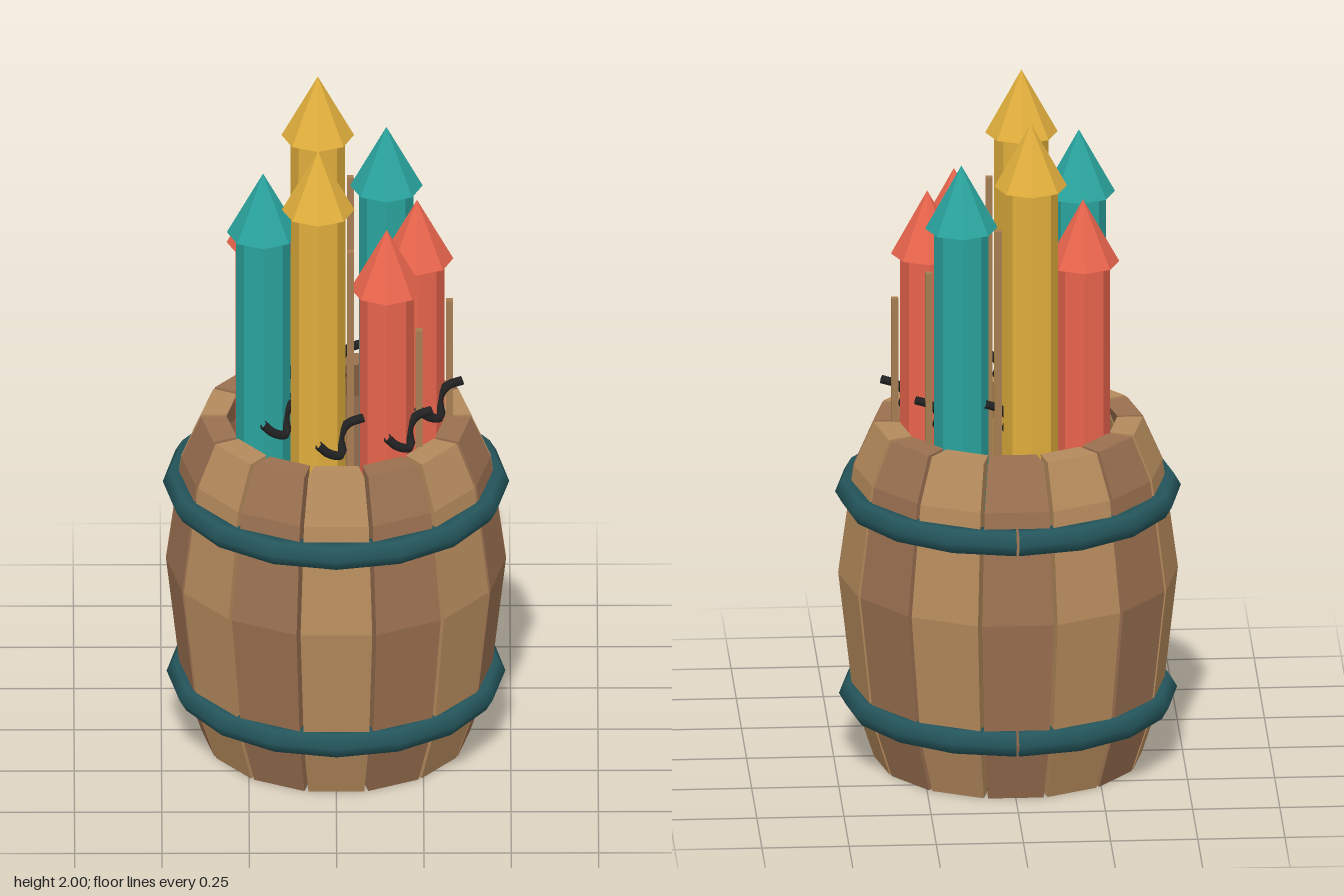
import * as THREE from 'three';

const STAVES = 14;
// Stave profile: [height, distance of outer face from the axis]
const PROFILE = [[0, 0.376], [0.18, 0.434], [0.56, 0.476], [0.89, 0.433], [1.02, 0.378]];
const THICKNESS = 0.072;
const GAP = 0.006;

const flat = (color) => new THREE.MeshStandardMaterial({ color, flatShading: true });

function add(parent, name, geometry, material) {
  const mesh = new THREE.Mesh(geometry, material);
  mesh.name = name;
  parent.add(mesh);
  return mesh;
}

// A box bent to the barrel profile, with tapered sides
function staveGeometry() {
  const rows = PROFILE.length - 1;
  const geo = new THREE.BoxGeometry(1, 1, 1, 1, rows, 1);
  const pos = geo.attributes.position;
  for (let i = 0; i < pos.count; i++) {
    const [y, outer] = PROFILE[Math.round((pos.getY(i) + 0.5) * rows)];
    const d = pos.getZ(i) > 0 ? outer : outer - THICKNESS;
    const half = d * Math.tan(Math.PI / STAVES) - GAP;
    pos.setXYZ(i, Math.sign(pos.getX(i)) * half, y, d);
  }
  geo.computeVertexNormals();
  return geo;
}

function createBarrel() {
  const barrel = new THREE.Group();
  barrel.name = 'barrel';
  const woods = [flat(0xb58a5c), flat(0x9a7050)];
  const geo = staveGeometry();
  for (let i = 0; i < STAVES; i++) {
    add(barrel, 'stave', geo, woods[i % 2]).rotation.y = (i / STAVES) * Math.PI * 2;
  }
  // Floor
  const floor = add(barrel, 'floor', new THREE.CylinderGeometry(0.335, 0.335, 0.03, 32), flat(0x5c4033));
  floor.position.y = 0.02;
  // Hoops, with a narrow seam at the back
  const hoopMat = new THREE.MeshStandardMaterial({ color: 0x24565c, side: THREE.DoubleSide });
  for (const [y, r] of [[0.193, 0.445], [0.808, 0.456]]) {
    const seam = 0.016;
    const hoop = new THREE.TorusGeometry(r, 0.04, 6, 16, Math.PI * 2 - seam);
    hoop.rotateZ(-Math.PI / 2 + seam / 2).rotateX(Math.PI / 2);
    add(barrel, 'hoop', hoop, hoopMat).position.y = y;
  }
  return barrel;
}

// Fuse curls through the side of the rocket body
const fusePath = new THREE.CatmullRomCurve3([
  [0, 1.09, 0.085], [0.03, 1.06, 0.08], [0.068, 1.045, 0.058],
  [0.062, 1.09, 0.03], [0.085, 1.125, 0.018], [0.13, 1.142, 0.015],
].map((p) => new THREE.Vector3(...p)));

function createRocket(color, tip) {
  const rocket = new THREE.Group();
  rocket.name = 'rocket';
  const material = flat(color);
  const bottom = 0.43;
  const coneHeight = 0.19;
  const shoulder = tip - coneHeight;

  const body = add(rocket, 'body', new THREE.CylinderGeometry(0.078, 0.078, shoulder - bottom, 8), material);
  body.position.y = (shoulder + bottom) / 2;
  const nose = add(rocket, 'noseCone', new THREE.ConeGeometry(0.104, coneHeight, 8), material);
  nose.position.y = tip - coneHeight / 2;

  // Guide stick on the left side
  const stickTop = shoulder - 0.135;
  const stick = add(rocket, 'stick', new THREE.BoxGeometry(0.02, stickTop - bottom, 0.02), flat(0xa67c52));
  stick.position.set(0.093, (stickTop + bottom) / 2, 0);

  add(rocket, 'fuse', new THREE.TubeGeometry(fusePath, 14, 0.013, 6),
    new THREE.MeshStandardMaterial({ color: 0x222222, side: THREE.DoubleSide }));
  return rocket;
}

export function createModel() {
  const model = new THREE.Group();
  model.name = 'rocketBarrel';
  model.add(createBarrel());

  // Seven rockets in a ring, from the left side round toward the front
  const red = [0xe8644c, 1.72];
  const teal = [0x2aa39d, 1.86];
  const yellow = [0xe0ae3c, 2.0];
  const order = [red, red, yellow, teal, red, yellow, teal];
  order.forEach(([color, tip], i) => {
    const a = (i / order.length) * Math.PI * 2;
    const rocket = createRocket(color, tip);
    rocket.position.set(0.232 * Math.cos(a), 0, 0.232 * Math.sin(a));
    model.add(rocket);
  });
  return model;
}
